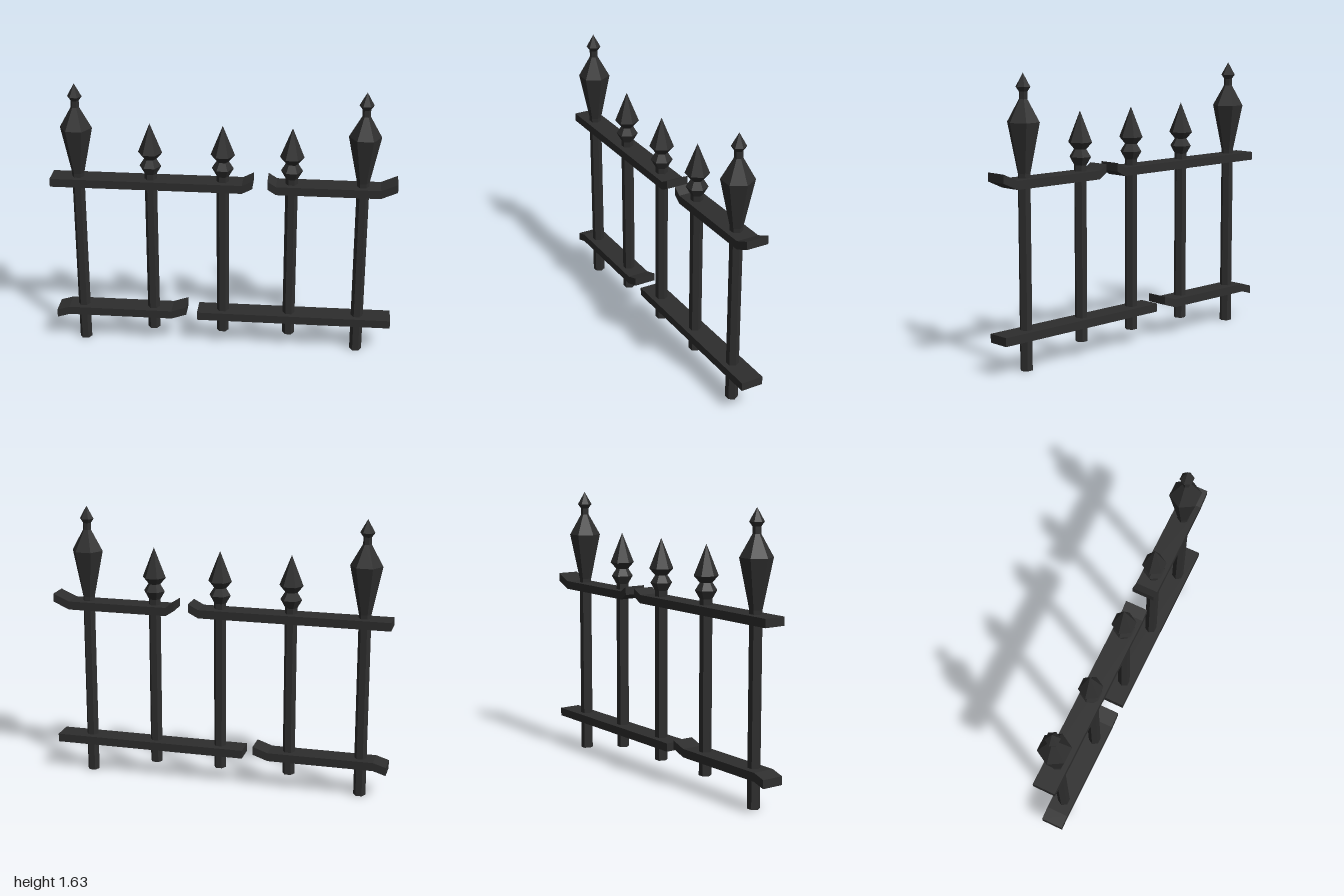
import * as THREE from 'three';

const iron = new THREE.MeshStandardMaterial({ color: 0x2e2e2e, flatShading: true });

// Six-sided turned solid with corners pointing along x; profile is [radius, height]
function hexTurned(name, profile) {
  const points = profile.map(([r, y]) => new THREE.Vector2(r, y));
  const mesh = new THREE.Mesh(new THREE.LatheGeometry(points, 6, Math.PI / 6), iron);
  mesh.name = name;
  return mesh;
}

// Flat bar following a line of [x, centre height], cut vertically at its ends
function rail(name, path) {
  const half = 0.0245, zBack = -0.07, depth = 0.132;
  const lower = path.map(([x, y]) => new THREE.Vector2(x, y - half));
  const upper = path.map(([x, y]) => new THREE.Vector2(x, y + half)).reverse();
  const geometry = new THREE.ExtrudeGeometry(new THREE.Shape([...lower, ...upper]), {
    depth, bevelEnabled: false,
  });
  geometry.translate(0, 0, zBack);
  const mesh = new THREE.Mesh(geometry, iron);
  mesh.name = name;
  return mesh;
}

function picket(name, x, bottom, top, finialProfile) {
  const group = new THREE.Group();
  group.name = name;
  group.position.x = x;
  const r = 0.036;
  group.add(
    hexTurned('post', [[0, bottom], [r, bottom], [r, top], [0, top]]),
    hexTurned('finial', finialProfile),
  );
  return group;
}

export function createModel() {
  const fence = new THREE.Group();
  fence.name = 'brokenFence';

  // Tall end posts with a long bulb and small pointed cap
  const tallFinial = [
    [0, 1.09], [0.036, 1.09], [0.093, 1.367], [0.024, 1.49],
    [0.024, 1.53], [0.042, 1.555], [0, 1.63],
  ];
  for (const [name, x] of [['rightEndPost', -0.842], ['leftEndPost', 0.803]]) {
    fence.add(picket(name, x, 0, 1.1, tallFinial));
  }

  // Short pickets with a collar under a spear point
  const spearFinial = [
    [0, 1.1], [0.036, 1.1], [0.063, 1.147], [0.036, 1.19],
    [0.07, 1.229], [0, 1.405],
  ];
  [-0.418, 0, 0.396].forEach((x, i) => {
    fence.add(picket(`picket${i + 1}`, x, 0.09, 1.11, spearFinial));
  });

  // Broken rails with bent ends
  fence.add(
    rail('upperRailRight', [[-1, 1.042], [0.114, 1.042], [0.174, 1.073]]),
    rail('upperRailLeft', [[0.26, 1.074], [0.31, 1.042], [0.905, 1.042], [1, 1.084]]),
    rail('lowerRailRight', [[-1, 0.181], [-0.925, 0.204], [-0.305, 0.204], [-0.215, 0.235]]),
    rail('lowerRailLeft', [[-0.15, 0.204], [1, 0.204]]),
  );
  return fence;
}
